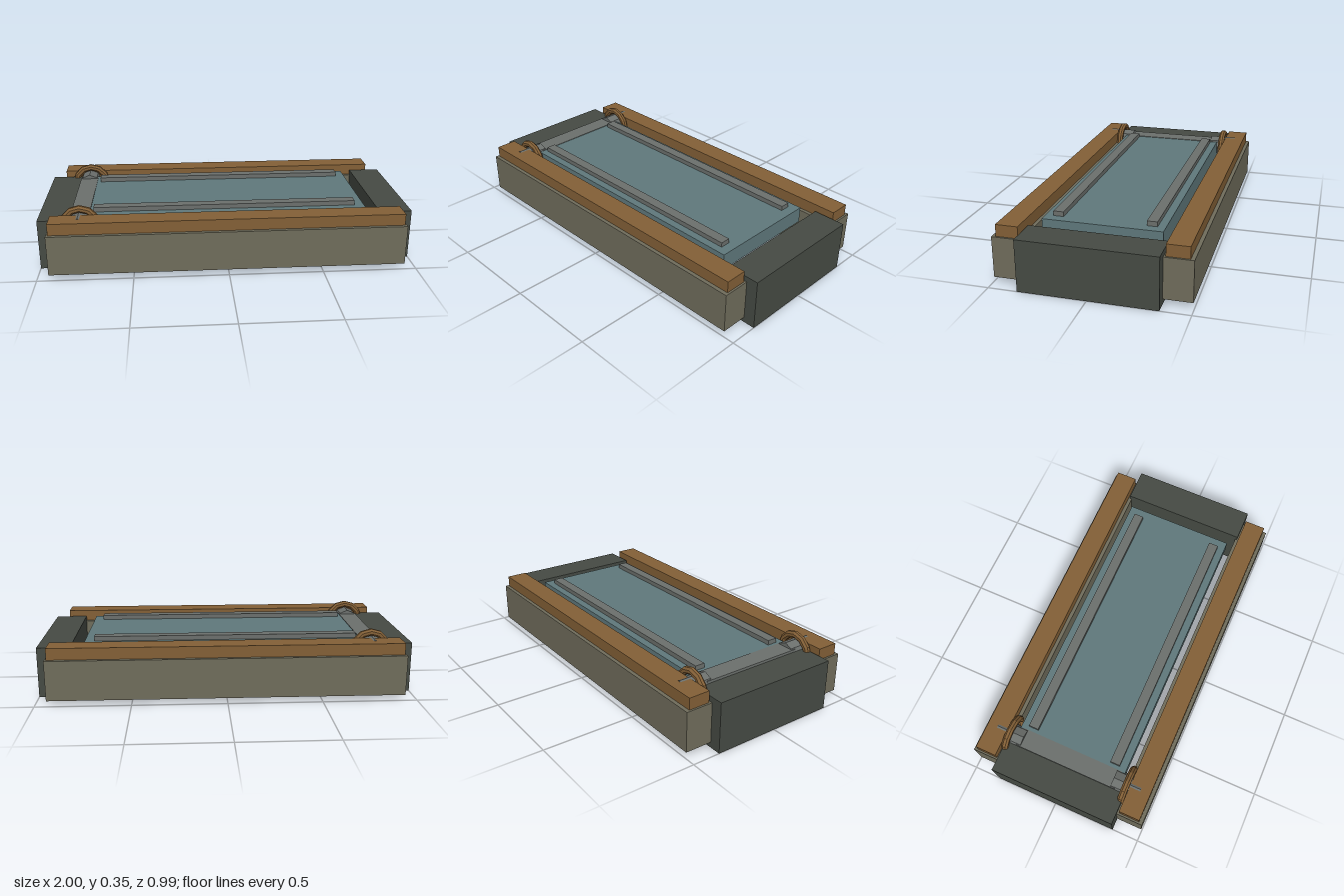
import * as THREE from 'three';

const mat = (color) => new THREE.MeshStandardMaterial({ color, flatShading: true });

export function createModel() {
  const stone = mat(0x6f6c5b), dark = mat(0x454a43), wood = mat(0x825f36);
  const slate = mat(0x5f787b), metal = mat(0x6b6f6c);
  const model = new THREE.Group();

  const add = (name, geometry, material, x, y, z) => {
    const mesh = new THREE.Mesh(geometry, material);
    mesh.name = name;
    mesh.position.set(x, y, z);
    model.add(mesh);
  };
  // box given by its lower and upper limits on each axis
  const box = (name, material, [x0, x1], [y0, y1], [z0, z1]) =>
    add(name, new THREE.BoxGeometry(x1 - x0, y1 - y0, z1 - z0), material,
      (x0 + x1) / 2, (y0 + y1) / 2, (z0 + z1) / 2);

  // end blocks
  box('rightEndBlock', dark, [-1, -0.825], [0, 0.272], [-0.35, 0.35]);
  box('leftEndBlock', dark, [0.825, 1], [0, 0.272], [-0.35, 0.35]);

  // door panel
  box('panel', slate, [-0.757, 0.757], [0.195, 0.283], [-0.308, 0.308]);

  // cross braces under the panel
  for (const x of [-0.45, 0, 0.45])
    box('crossBrace', wood, [x - 0.036, x + 0.036], [0.168, 0.195], [-0.3, 0.3]);

  // hinge bar along the panel's right end
  box('hingeBar', metal, [-0.83, -0.73], [0.2, 0.286], [-0.29, 0.29]);

  // faceted hinge pin lying along z
  const pin = new THREE.CylinderGeometry(0.06, 0.06, 0.155, 8).rotateX(Math.PI / 2);

  // hinge ring: an octagonal section with a flat rim, turned about z
  const section = Array.from({ length: 9 }, (_, i) => {
    const a = (i - 0.5) * Math.PI / 4;
    return new THREE.Vector2(0.09 + 0.0195 * Math.cos(a), 0.0195 * Math.sin(a));
  });
  const ring = new THREE.LatheGeometry(section, 12).rotateX(Math.PI / 2);

  // parts mirrored front and back
  for (const s of [1, -1]) {
    const span = (a, b) => (s > 0 ? [a, b] : [-b, -a]);
    box('sideWall', stone, [-0.938, 0.938], [0.029, 0.243], span(0.34, 0.495));
    box('sideRail', wood, [-0.928, 0.928], [0.243, 0.305], span(0.36, 0.475));
    box('panelStrip', metal, [-0.71, 0.705], [0.283, 0.308], span(0.213, 0.267));
    add('hingePin', pin, metal, -0.78, 0.249, s * 0.3425);
    add('hingeRing', ring, wood, -0.776, 0.243, s * 0.341);
  }
  return model;
}
